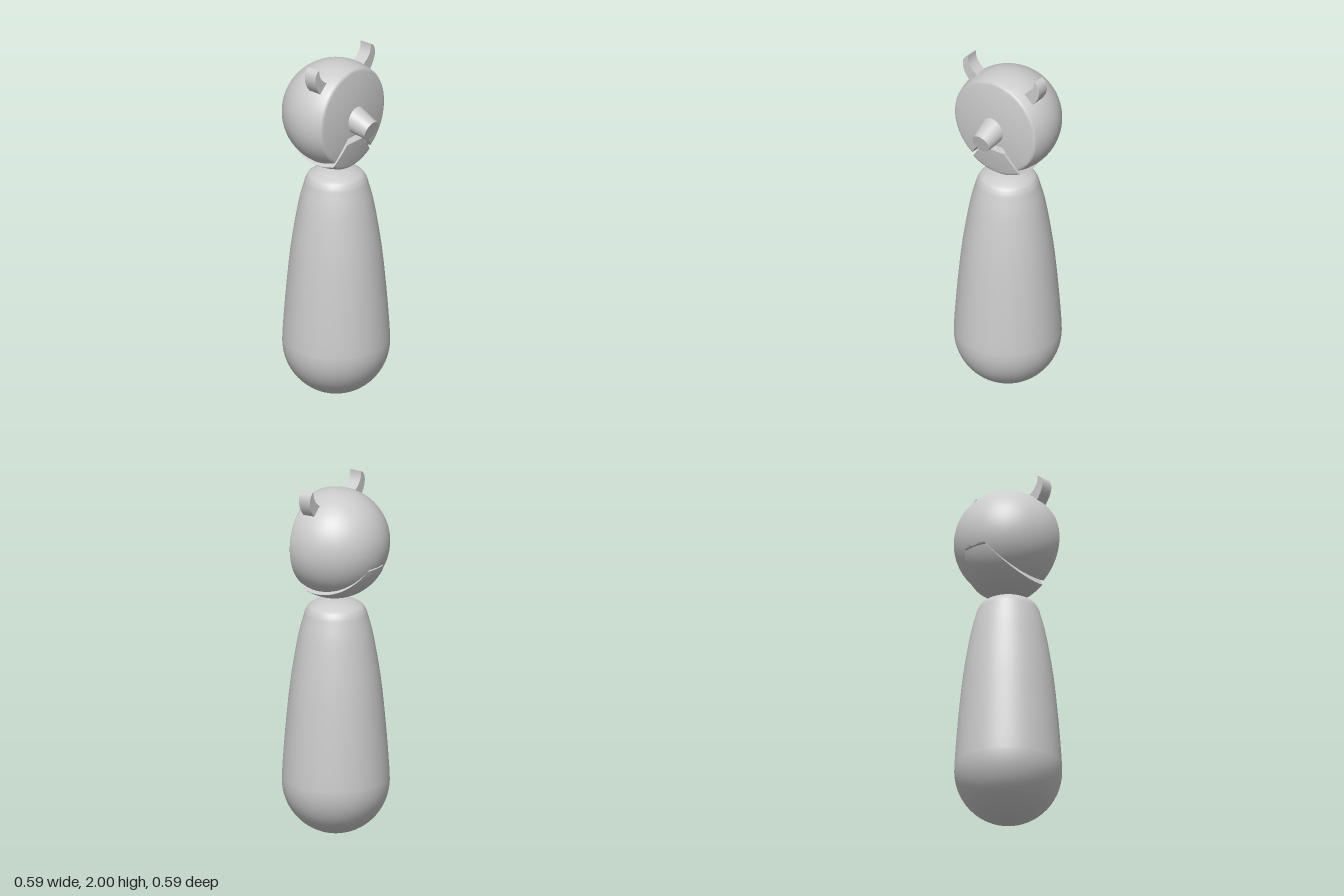
import * as THREE from 'three';
import { toCreasedNormals } from 'three/addons/utils/BufferGeometryUtils.js';

const HEAD_Y = 1.66, HEAD_R = 0.296;
const MOUTH = 0.61; // half angle of the mouth sector, measured from straight down
const FACE_R = 0.268;

const faceZ = (r) => 0.145 - 0.027 * (r / FACE_R) ** 2;
const backZ = (r) => -Math.sqrt(HEAD_R ** 2 - r * r);

// Half outline of the head as [radius, z], from the back pole to the centre of the face
function headProfile() {
  const pts = [];
  const end = Math.acos(-0.1 / HEAD_R);
  for (let i = 0; i <= 44; i++) {
    const t = (end * i) / 44;
    pts.push([HEAD_R * Math.sin(t), -HEAD_R * Math.cos(t)]);
  }
  pts.push([0.276, 0.109], [0.273, 0.114]);
  for (let i = 0; i <= 24; i++) {
    const r = FACE_R * (1 - i / 24);
    pts.push([r, faceZ(r)]);
  }
  return pts;
}

// Skin a closed loop of columns; each column maps a profile point to [x, y, z]
function skin(columns) {
  const profile = headProfile();
  const grid = columns.map(({ angle, place }) => profile.map(([r, z]) => {
    const [pr, pz] = place(r, z);
    return new THREE.Vector3(pr * Math.sin(angle), -pr * Math.cos(angle), pz);
  }));
  const out = [];
  const tri = new THREE.Triangle();
  const add = (a, b, c) => {
    tri.set(a, b, c);
    if (tri.getArea() > 1e-9) for (const p of [a, b, c]) out.push(p.x, p.y, p.z);
  };
  grid.forEach((col, i) => {
    const next = grid[(i + 1) % grid.length];
    for (let j = 0; j < profile.length - 1; j++) {
      add(col[j], next[j], col[j + 1]);
      add(next[j], next[j + 1], col[j + 1]);
    }
  });
  const geo = new THREE.BufferGeometry();
  geo.setAttribute('position', new THREE.Float32BufferAttribute(out, 3));
  return toCreasedNormals(geo, 0.6);
}

function arc(from, to, n, makePlace) {
  return Array.from({ length: n + 1 }, (_, i) => {
    const angle = from + ((to - from) * i) / n;
    return { angle, place: makePlace(angle) };
  });
}

// Ball with a shallow domed face and a wedge cut out for the mouth
function headGeometry() {
  const notch = (a) => (r, z) => [Math.min(r, 0.1 / Math.cos(a)), z];
  const full = () => (r, z) => [r, z];
  return skin([
    ...arc(-MOUTH, MOUTH, 16, notch),
    ...arc(MOUTH, 2 * Math.PI - MOUTH, 64, full),
  ]);
}

// Wedge that fills the mouth sector
function jawGeometry() {
  const sheet = (outer) => (a) => {
    const inner = 0.108 / Math.cos(a);
    return (r, z) => [
      outer ? Math.max(r, inner) : inner,
      THREE.MathUtils.clamp(z, backZ(inner), faceZ(inner)),
    ];
  };
  return skin([
    ...arc(-MOUTH, MOUTH, 20, sheet(true)),
    ...arc(MOUTH, -MOUTH, 20, sheet(false)),
  ]);
}

// Tapered body with a round bottom and a low domed top
function bodyGeometry() {
  const pts = [];
  for (let i = 0; i <= 16; i++) {
    const t = (i / 16) * Math.PI / 2;
    pts.push(new THREE.Vector2(0.294 * Math.sin(t), 0.3 - 0.3 * Math.cos(t)));
  }
  const side = new THREE.SplineCurve([
    [0.294, 0.3], [0.289, 0.4], [0.272, 0.62], [0.246, 0.87], [0.207, 1.11],
    [0.177, 1.23], [0.163, 1.27], [0.14, 1.297], [0.075, 1.325], [0, 1.334],
  ].map(([x, y]) => new THREE.Vector2(x, y)));
  pts.push(...side.getPoints(45).slice(1));
  pts[0].x = pts[pts.length - 1].x = 0;
  return new THREE.LatheGeometry(pts, 64);
}

// Curved flat horn
function hornGeometry() {
  const s = new THREE.Shape();
  s.moveTo(0.15, 1.86);
  s.lineTo(0.21, 1.847);
  s.bezierCurveTo(0.24, 1.88, 0.259, 1.91, 0.259, 1.945);
  s.quadraticCurveTo(0.259, 1.985, 0.225, 2.0);
  s.bezierCurveTo(0.226, 1.95, 0.2, 1.925, 0.158, 1.9);
  s.closePath();
  const geo = new THREE.ExtrudeGeometry(s, { depth: 0.073, bevelEnabled: false, curveSegments: 12 });
  geo.translate(0, 0, -0.0365);
  return toCreasedNormals(geo, 0.6);
}

export function createModel() {
  const model = new THREE.Group();
  model.name = 'figure';
  const grey = new THREE.MeshStandardMaterial({ color: 0xcccccc });
  const add = (name, geo, parent = model) => {
    const mesh = new THREE.Mesh(geo, grey);
    mesh.name = name;
    parent.add(mesh);
    return mesh;
  };

  add('body', bodyGeometry());
  add('head', headGeometry()).position.y = HEAD_Y;

  // Jaw swings slightly open about a hinge at the back
  const hinge = new THREE.Group();
  hinge.name = 'jawHinge';
  hinge.position.set(0, HEAD_Y - 0.11, -0.27);
  hinge.rotation.x = 0.075;
  model.add(hinge);
  add('jaw', jawGeometry(), hinge).position.set(0, 0.11, 0.27);

  // Snout tapers forward and down
  const snout = add('snout', new THREE.CylinderGeometry(0.056, 0.086, 0.2, 40));
  const tilt = 0.3;
  snout.rotation.x = Math.PI / 2 + tilt;
  snout.position.set(0, 1.613 + 0.1 * Math.sin(tilt), 0.246 - 0.1 * Math.cos(tilt));

  // Horns, one turned half round to mirror the other
  const horn = hornGeometry();
  ['leftHorn', 'rightHorn'].forEach((name, i) => {
    const mesh = add(name, horn);
    mesh.position.z = 0.026;
    mesh.rotation.y = i * Math.PI;
  });
  return model;
}
